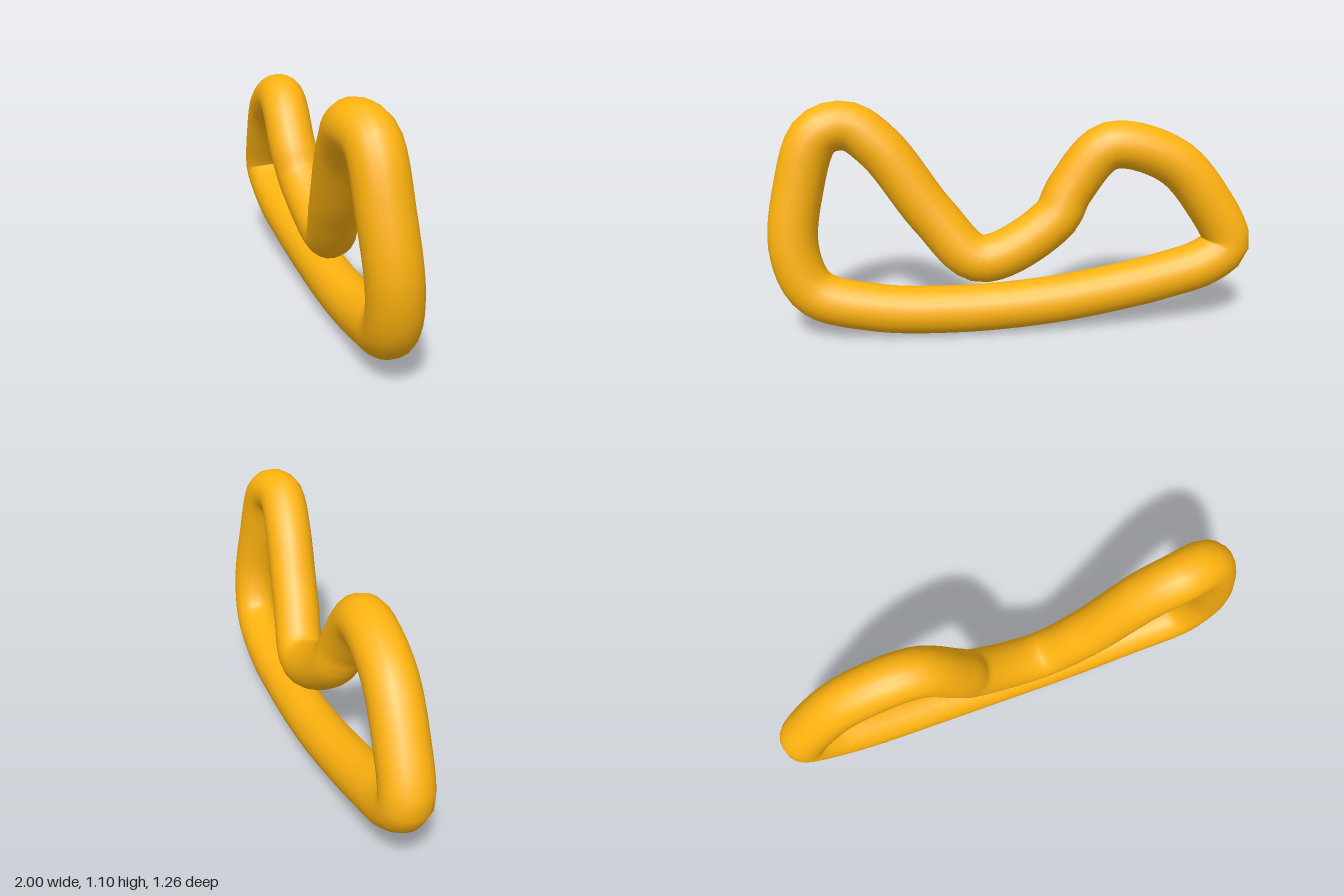
import * as THREE from 'three';

export function createModel() {
  const group = new THREE.Group();
  group.name = 'bentLoop';

  // Centreline of the closed loop
  const path = [
    [-0.888, 0.39, -0.517], [-0.81, 0.6, -0.455], [-0.66, 0.8, -0.35], // left rise
    [-0.41, 0.872, -0.19], [-0.25, 0.67, -0.1], [-0.17, 0.53, -0.08], // left hump
    [0.15, 0.357, 0.07], // dip
    [0.315, 0.56, 0.21], [0.5, 0.88, 0.36], [0.62, 0.985, 0.445], // right rise
    [0.75, 0.955, 0.49], [0.845, 0.7, 0.517], [0.887, 0.42, 0.507], // right fall
    [0.825, 0.225, 0.45], [0.6, 0.143, 0.3], [0.28, 0.118, 0.115], // lower bar
    [-0.1, 0.14, -0.1], [-0.4, 0.188, -0.26], [-0.62, 0.238, -0.375], [-0.8, 0.303, -0.475],
  ].map((p) => new THREE.Vector3(...p));
  const curve = new THREE.CatmullRomCurve3(path, true, 'centripetal');

  // Round rod swept along the loop
  const rod = new THREE.Mesh(
    new THREE.TubeGeometry(curve, 128, 0.113, 20, true),
    new THREE.MeshStandardMaterial({ color: 0xffb30f }),
  );
  rod.name = 'loopRod';
  group.add(rod);
  return group;
}
